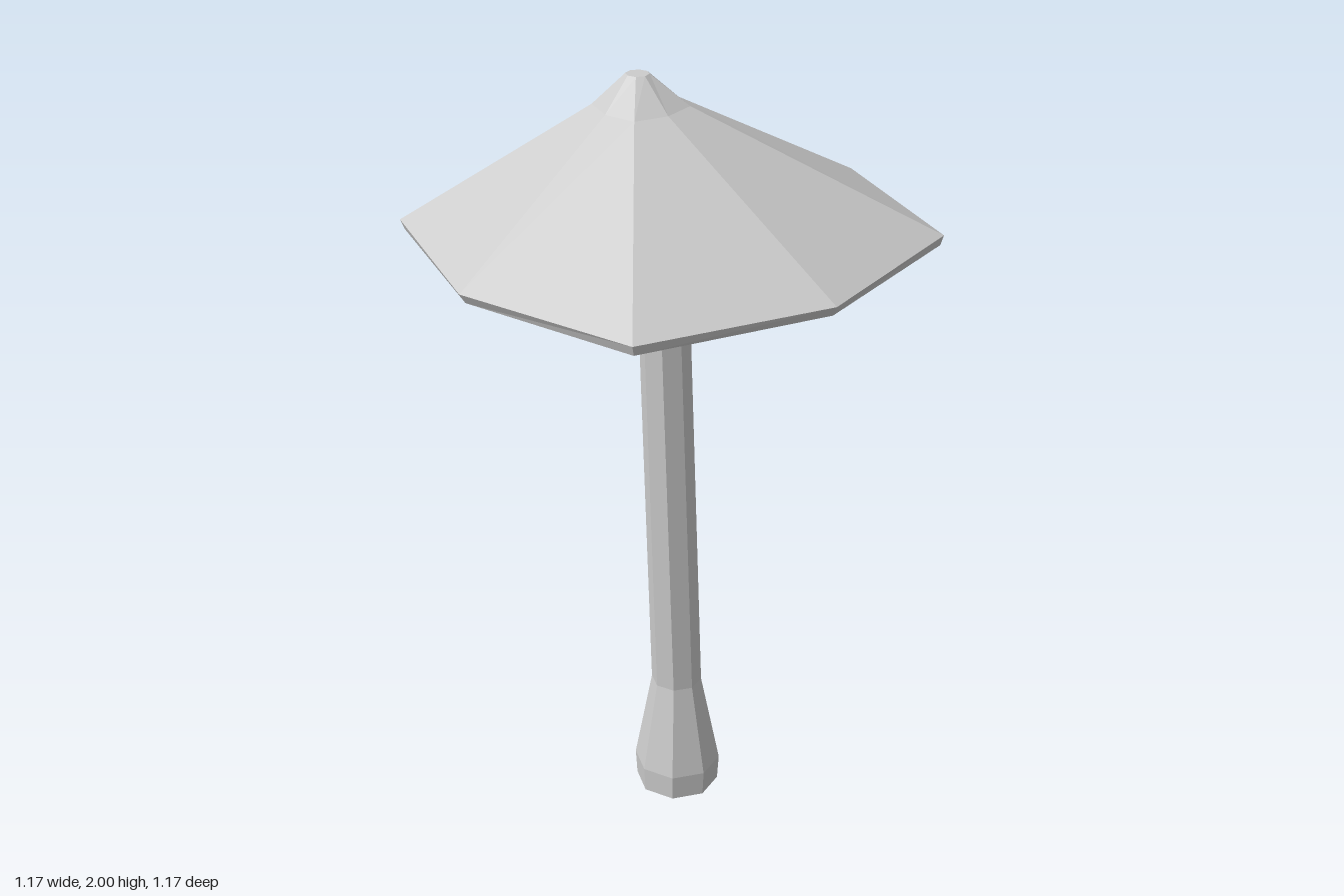
import * as THREE from 'three';

const SIDES = 8;

// Lofts octagonal rings given bottom to top as { x, y, z, r, diag, tilt }.
// diag scales the corner points, tilt raises the ring towards +x.
function loft(rings, closeStart, closeEnd) {
  const pos = [], index = [];
  for (const { x, y, z, r, diag = 1, tilt = 0 } of rings) {
    for (let i = 0; i < SIDES; i++) {
      const a = (i / SIDES) * Math.PI * 2;
      const d = i % 2 ? r * diag : r;
      pos.push(x + d * Math.cos(a), y + tilt * d * Math.cos(a), z + d * Math.sin(a));
    }
  }
  for (let k = 0; k < rings.length - 1; k++) {
    for (let i = 0; i < SIDES; i++) {
      const j = (i + 1) % SIDES;
      const a = k * SIDES + i, b = k * SIDES + j;
      index.push(a, a + SIDES, b, b, a + SIDES, b + SIDES);
    }
  }
  const last = (rings.length - 1) * SIDES;
  for (let i = 1; i < SIDES - 1; i++) {
    if (closeStart) index.push(0, i, i + 1);
    if (closeEnd) index.push(last, last + i + 1, last + i);
  }
  const indexed = new THREE.BufferGeometry();
  indexed.setAttribute('position', new THREE.Float32BufferAttribute(pos, 3));
  indexed.setIndex(index);
  const geo = indexed.toNonIndexed();
  geo.computeVertexNormals();
  return geo;
}

export function createModel() {
  const group = new THREE.Group();
  group.name = 'mushroom';
  const grey = new THREE.MeshStandardMaterial({ color: 0xcccccc, flatShading: true });
  grey.name = 'grey';

  const add = (name, geometry) => {
    const mesh = new THREE.Mesh(geometry, grey);
    mesh.name = name;
    group.add(mesh);
  };

  // Leaning stem with a swollen foot
  add('stem', loft([
    { x: 0.053, y: 0, z: -0.037, r: 0.11 },
    { x: 0.053, y: 0.07, z: -0.037, r: 0.114 },
    { x: 0.049, y: 0.325, z: -0.036, r: 0.066 },
    { x: 0.002, y: 1.55, z: -0.035, r: 0.063 },
  ], true, false));

  // Flared collar under the cap
  add('collar', loft([
    { x: 0.002, y: 1.55, z: -0.035, r: 0.063 },
    { x: 0.005, y: 1.645, z: -0.035, r: 0.195, tilt: 0.02 },
    { x: 0.005, y: 1.672, z: -0.035, r: 0.207, tilt: 0.02 },
  ], false, true));

  // Cap: hollowed underside, bevelled rim, slope, shoulder and flat tip
  add('cap', loft([
    { x: 0, y: 1.672, z: -0.03, r: 0.15, diag: 1.1, tilt: 0.02 },
    { x: 0, y: 1.607, z: -0.008, r: 0.57, diag: 1.11, tilt: 0.021 },
    { x: -0.002, y: 1.632, z: -0.008, r: 0.583, diag: 1.1, tilt: 0.021 },
    { x: -0.048, y: 1.928, z: -0.05, r: 0.101, diag: 1.12, tilt: 0.02 },
    { x: -0.049, y: 2, z: -0.06, r: 0.028 },
  ], true, true));

  return group;
}
